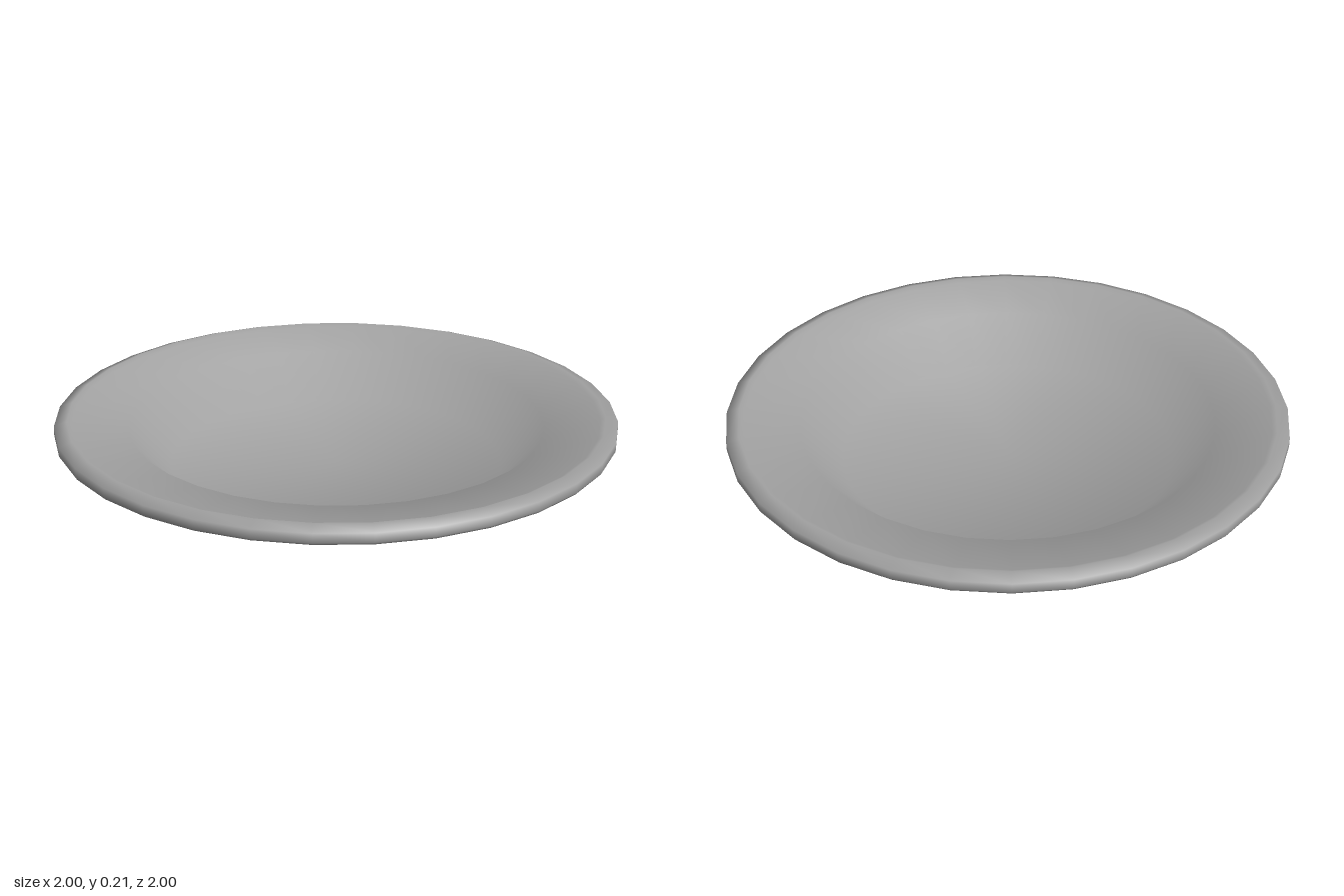
import * as THREE from 'three';

const SIDES = 32;

// Turns a profile around y; each normal averages its two neighbouring slopes equally.
function smoothLathe(points) {
  const geometry = new THREE.LatheGeometry(points, SIDES);
  const slopes = points.slice(1).map((p, i) => {
    const d = p.clone().sub(points[i]).normalize();
    return new THREE.Vector2(d.y, -d.x);
  });
  const normals = points.map((p, i) => {
    if (p.x === 0) return new THREE.Vector2(0, i === 0 ? -1 : 1);
    return slopes[i - 1].clone().add(slopes[i]).normalize();
  });
  for (let s = 0; s <= SIDES; s++) {
    const angle = (s / SIDES) * Math.PI * 2;
    normals.forEach((n, j) => geometry.attributes.normal.setXYZ(
      s * points.length + j, n.x * Math.sin(angle), n.y, n.x * Math.cos(angle)));
  }
  return geometry;
}

// Shallow round plate: one thin closed profile with a hanging lip.
export function createModel() {
  const group = new THREE.Group();
  group.name = 'plate';

  const profile = [
    // underside: base, sloping wall, wide rim
    [0, 0], [0.6, 0.007], [0.735, 0.157], [0.95, 0.19],
    // hanging lip, from its inner side round to the top
    [0.977, 0.153], [0.995, 0.152], [1, 0.16], [1, 0.193], [0.955, 0.209],
    // upper side: rim, inner wall and floor
    [0.938, 0.2], [0.74, 0.17], [0.596, 0.019], [0, 0.01],
  ].map(([r, y]) => new THREE.Vector2(r, y));

  const material = new THREE.MeshStandardMaterial({ color: 0xa2a2a2 });
  const dish = new THREE.Mesh(smoothLathe(profile), material);
  dish.name = 'dish';
  group.add(dish);
  return group;
}
